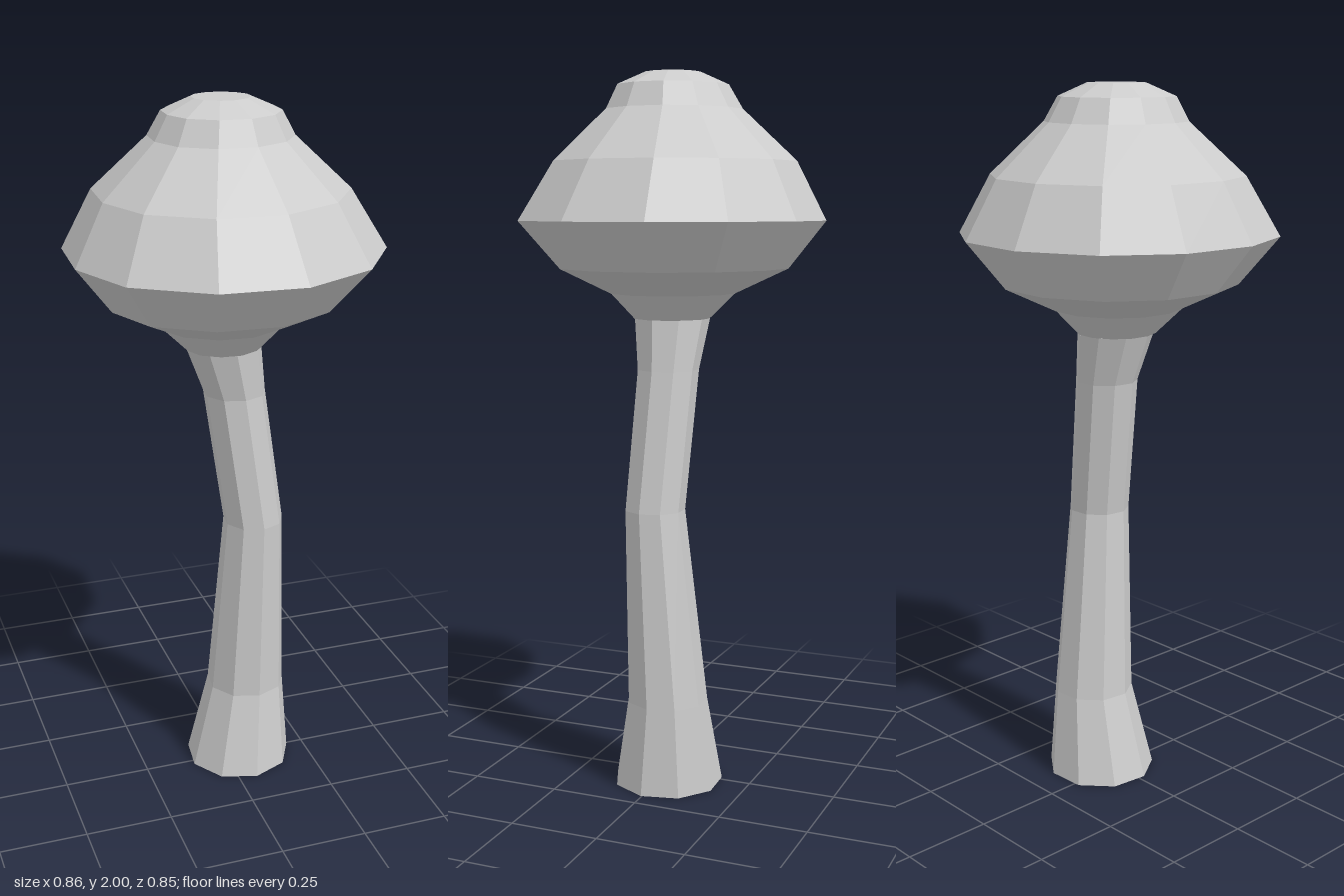
import * as THREE from 'three';

// Closed skin over stacked rings; each ring is [y, scale, centreX, centreZ].
function loft(outline, rings) {
  const n = outline.length, positions = [], index = [];
  for (const [y, s, cx, cz] of rings)
    for (const [x, z] of outline) positions.push(cx + x * s, y, cz + z * s);
  for (let r = 0; r < rings.length - 1; r++) {
    for (let j = 0; j < n; j++) {
      const a = r * n + j, b = r * n + (j + 1) % n;
      index.push(a, a + n, b, b, a + n, b + n);
    }
  }
  // End discs
  const last = rings.length - 1, bottom = positions.length / 3;
  for (const i of [0, last]) positions.push(rings[i][2], rings[i][0], rings[i][3]);
  for (let j = 0; j < n; j++) {
    const k = (j + 1) % n;
    index.push(bottom, j, k, bottom + 1, last * n + k, last * n + j);
  }
  const geometry = new THREE.BufferGeometry();
  geometry.setAttribute('position', new THREE.Float32BufferAttribute(positions, 3));
  geometry.setIndex(index);
  geometry.computeVertexNormals();
  return geometry;
}

export function createModel() {
  const group = new THREE.Group();
  const material = new THREE.MeshStandardMaterial({ color: 0xcccccc, flatShading: true });
  const add = (name, geometry) => {
    const mesh = new THREE.Mesh(geometry, material);
    mesh.name = name;
    group.add(mesh);
  };

  // Nine-sided stem that bends as it rises
  const stemOutline = Array.from({ length: 9 }, (_, i) => {
    const a = THREE.MathUtils.degToRad(7 + i * 40);
    return [Math.cos(a), Math.sin(a)];
  });
  add('stem', loft(stemOutline, [
    [0, 0.156, 0.046, -0.016],
    [0.25, 0.115, 0.071, -0.023],
    [0.8, 0.086, 0.08, 0.011],
    [1.19, 0.088, 0.028, -0.007],
    [1.33, 0.108, -0.006, -0.005],
  ]));

  // Cap: slightly uneven twelve-sided rim, scaled for every ring
  const rim = [
    [0.427, -0.11], [0.415, 0.125], [0.285, 0.32], [0.075, 0.425],
    [-0.155, 0.41], [-0.35, 0.28], [-0.43, 0.08], [-0.415, -0.145],
    [-0.295, -0.325], [-0.09, -0.425], [0.13, -0.41], [0.315, -0.29],
  ];
  add('cap', loft(rim, [
    [1.33, 0.25, -0.006, -0.004],
    [1.4, 0.41, -0.008, -0.005],
    [1.47, 0.75, -0.008, -0.005],
    [1.6, 1, 0, 0],
    [1.76, 0.79, -0.007, -0.008],
    [1.9, 0.445, -0.008, -0.008],
    [1.965, 0.363, -0.008, -0.005],
    [2, 0.18, -0.01, -0.006],
  ]));
  return group;
}
